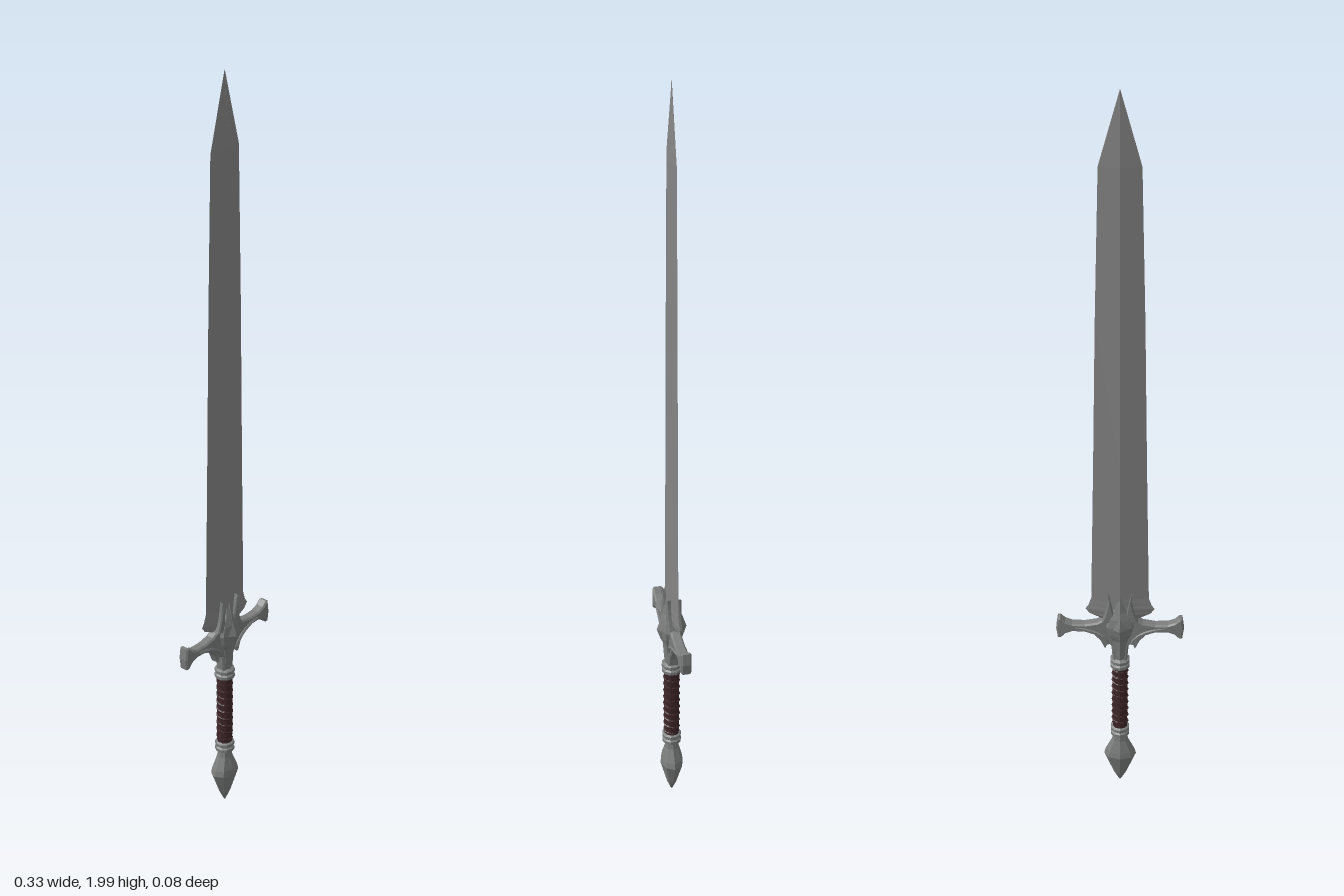
import * as THREE from 'three';

const mat = (name, color) => Object.assign(new THREE.MeshStandardMaterial({ color, flatShading: true }), { name });

// Joins rings of equal length, listed bottom to top, into a closed faceted solid.
// Each ring runs from +x towards +z.
function loft(rings) {
  const n = rings[0].length, pos = [];
  const tri = (a, b, c) => pos.push(...a, ...b, ...c);
  for (let i = 0; i < rings.length - 1; i++) {
    const a = rings[i], b = rings[i + 1];
    for (let j = 0; j < n; j++) {
      const k = (j + 1) % n;
      tri(a[j], b[j], b[k]);
      tri(a[j], b[k], a[k]);
    }
  }
  const lo = rings[0], hi = rings[rings.length - 1];
  for (let j = 1; j < n - 1; j++) {
    tri(lo[0], lo[j], lo[j + 1]);
    tri(hi[0], hi[j + 1], hi[j]);
  }
  const g = new THREE.BufferGeometry();
  g.setAttribute('position', new THREE.Float32BufferAttribute(pos, 3));
  g.computeVertexNormals();
  return g;
}

// Elliptical ring with n corners; the first corner points to +x.
const ring = (y, rx, rz, n) => Array.from({ length: n }, (_, i) => {
  const a = i / n * Math.PI * 2;
  return [Math.cos(a) * rx, y, Math.sin(a) * rz];
});

// Bevelled plate centred on z = 0.
function plate(shape, half, bevel) {
  const g = new THREE.ExtrudeGeometry(shape, {
    depth: 2 * (half - bevel), bevelThickness: bevel, bevelSize: bevel,
    bevelOffset: -bevel, bevelSegments: 1, curveSegments: 6
  });
  return g.translate(0, 0, -(half - bevel));
}

export function createModel() {
  const group = new THREE.Group();
  const steel = mat('bladeSteel', 0x858585);
  const iron = mat('guardIron', 0x7b7e7d);
  const leather = mat('gripLeather', 0x3e2628);
  const add = (name, geo, m) => {
    const mesh = new THREE.Mesh(geo, m);
    mesh.name = name;
    group.add(mesh);
    return mesh;
  };

  // Blade: a thin diamond section, flared at the base
  const blade = [
    [0.535, 0.045, 0.014], [0.552, 0.078, 0.014], [0.566, 0.088, 0.014], [0.578, 0.08, 0.014],
    [0.6, 0.073, 0.014], [1.0, 0.066, 0.0135], [1.4, 0.06, 0.0125], [1.81, 0.051, 0.011], [2, 0.0005, 0.0005]
  ];
  add('blade', loft(blade.map(([y, w, t]) => ring(y, w, t, 4))), steel);

  // Crossguard: mirrored outline with flared ends and lower spikes
  const right = [
    [0, 0.585], [0.018, 0.57], [0.032, 0.545], [0.058, 0.528], [0.09, 0.522], [0.122, 0.523],
    [0.14, 0.53], [0.152, 0.542], [0.159, 0.541], [0.163, 0.51], [0.159, 0.481], [0.152, 0.48],
    [0.14, 0.493], [0.122, 0.5], [0.09, 0.499], [0.066, 0.49], [0.05, 0.472], [0.038, 0.446],
    [0.031, 0.466], [0.022, 0.455], [0.018, 0.405]
  ];
  const outline = [...right, ...right.slice(1).reverse().map(([x, y]) => [-x, y])];
  add('crossguard', plate(new THREE.Shape(outline.map(([x, y]) => new THREE.Vector2(x, y))), 0.0135, 0.004), iron);

  // Raised boss in the middle of the guard
  const boss = [
    [0.405, 0.017, 0.017], [0.445, 0.018, 0.021], [0.475, 0.026, 0.023], [0.495, 0.036, 0.029],
    [0.52, 0.043, 0.032], [0.545, 0.034, 0.029], [0.565, 0.02, 0.024], [0.612, 0.002, 0.014]
  ];
  add('guardBoss', loft(boss.map(([y, x, z]) => ring(y, x, z, 8))), iron);

  // Faceted gem-shaped studs on the front and back
  for (const s of [1, -1]) {
    const stud = add(s > 0 ? 'frontStud' : 'backStud', new THREE.OctahedronGeometry(1), iron);
    stud.scale.set(0.017, 0.036, 0.012);
    stud.position.set(0, 0.518, s * 0.027);
  }

  // Curved prongs that clasp the blade
  for (const s of [1, -1]) {
    const prong = new THREE.Shape();
    prong.moveTo(s * 0.012, 0.53);
    prong.quadraticCurveTo(s * 0.018, 0.575, s * 0.029, 0.62);
    prong.quadraticCurveTo(s * 0.028, 0.58, s * 0.046, 0.535);
    prong.closePath();
    add(s > 0 ? 'leftProng' : 'rightProng', plate(prong, 0.019, 0.003), iron);
  }

  // Swept ridges along the arms
  for (const s of [1, -1]) for (const f of [1, -1]) {
    const curve = new THREE.QuadraticBezierCurve3(
      new THREE.Vector3(s * 0.03, 0.465, f * 0.013),
      new THREE.Vector3(s * 0.045, 0.505, f * 0.017),
      new THREE.Vector3(s * 0.115, 0.511, f * 0.011));
    add('armRidge', new THREE.TubeGeometry(curve, 8, 0.005, 5), iron);
  }

  // Collars above and below the grip
  const collar = (name, y, h, r) => {
    const p = [[0.018, 0], [r, 0.12], [r, 0.38], [r * 0.84, 0.5], [r, 0.62], [r, 0.85], [0.017, 1]];
    add(name, new THREE.LatheGeometry(p.map(([x, t]) => new THREE.Vector2(x, y + t * h)), 10), iron);
  };
  collar('upperCollar', 0.382, 0.032, 0.026);
  collar('lowerCollar', 0.16, 0.032, 0.025);

  // Grip with a spiral leather wrap
  const grip = add('grip', new THREE.CylinderGeometry(0.0205, 0.0195, 0.206, 10), leather);
  grip.position.y = 0.287;
  const turns = 9;
  const wrap = Array.from({ length: turns * 8 + 1 }, (_, i) => {
    const a = i / 8 * Math.PI * 2;
    return new THREE.Vector3(Math.cos(a) * 0.019, 0.194 + 0.186 * i / (turns * 8), Math.sin(a) * 0.019);
  });
  add('gripWrap', new THREE.TubeGeometry(new THREE.CatmullRomCurve3(wrap), turns * 10, 0.0035, 5), leather);

  // Pointed faceted pommel
  const pommel = [
    [0.006, 0.002, 0.002], [0.03, 0.016, 0.012], [0.095, 0.042, 0.03],
    [0.11, 0.038, 0.028], [0.145, 0.021, 0.019], [0.165, 0.017, 0.017]
  ];
  add('pommel', loft(pommel.map(([y, x, z]) => ring(y, x, z, 8))), iron);

  return group;
}
